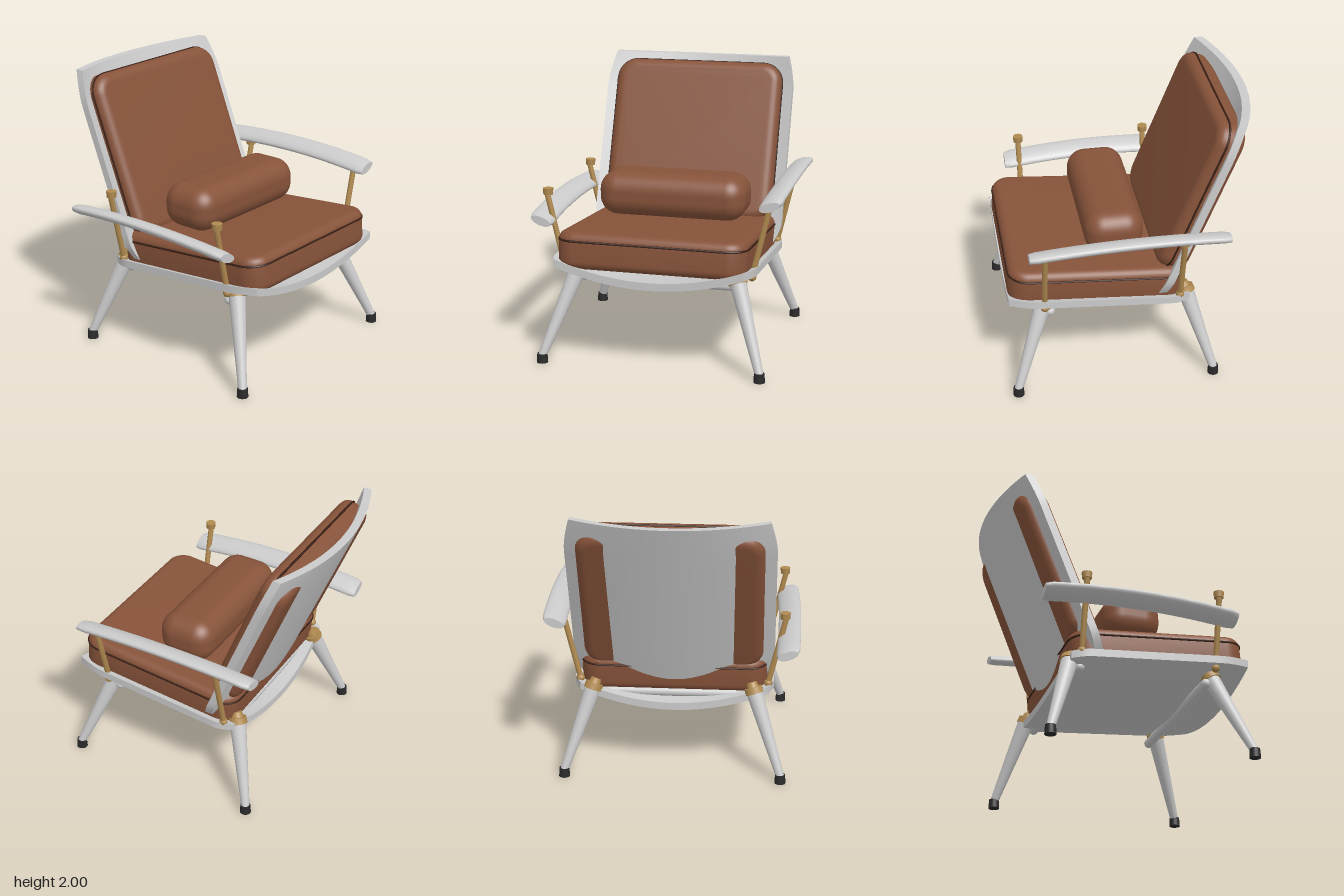
import * as THREE from 'three';
import { toCreasedNormals } from 'three/addons/utils/BufferGeometryUtils.js';
import { RoundedBoxGeometry } from 'three/addons/geometries/RoundedBoxGeometry.js';

const V = (x, y, z) => new THREE.Vector3(x, y, z);
const grey = new THREE.MeshStandardMaterial({ color: 0xcccccc });
const leather = new THREE.MeshStandardMaterial({ color: 0x87533a });
const brass = new THREE.MeshStandardMaterial({ color: 0xb08a50 });
const black = new THREE.MeshStandardMaterial({ color: 0x2a2a2a });
const piping = new THREE.MeshStandardMaterial({ color: 0x3a2016 });

function add(parent, name, geometry, material, pos) {
  const mesh = new THREE.Mesh(geometry, material);
  mesh.name = name;
  if (pos) mesh.position.copy(pos);
  parent.add(mesh);
  return mesh;
}

// Tapered round rod from a to b
function rod(parent, name, a, b, ra, rb, material) {
  const d = b.clone().sub(a);
  const mesh = add(parent, name, new THREE.CylinderGeometry(rb, ra, d.length(), 24), material,
    a.clone().add(b).multiplyScalar(0.5));
  mesh.quaternion.setFromUnitVectors(V(0, 1, 0), d.normalize());
  return mesh;
}

// Move every vertex of a geometry by a rule, then smooth all but the sharp edges
function reshape(geometry, rule) {
  const p = geometry.attributes.position;
  const v = V(0, 0, 0);
  for (let i = 0; i < p.count; i++) {
    rule(v.fromBufferAttribute(p, i));
    p.setXYZ(i, v.x, v.y, v.z);
  }
  return toCreasedNormals(geometry, 0.7);
}

function roundedRect(w, h, r) {
  const s = new THREE.Shape();
  s.absarc(w - r, h - r, r, 0, Math.PI / 2);
  s.absarc(r - w, h - r, r, Math.PI / 2, Math.PI);
  s.absarc(r - w, r - h, r, Math.PI, Math.PI * 1.5);
  s.absarc(w - r, r - h, r, Math.PI * 1.5, Math.PI * 2);
  s.closePath();
  return s;
}

// Upholstered cushion lying in the XY plane, front face +z, with a piped seam
function cushion(name, w, h, depth, r, bevel) {
  const g = new THREE.Group();
  g.name = name;
  const body = new THREE.ExtrudeGeometry(roundedRect(w - bevel, h - bevel, r - bevel), {
    depth: depth - 2 * bevel, bevelSize: bevel, bevelThickness: bevel, bevelSegments: 7, curveSegments: 12,
  });
  body.translate(0, 0, bevel - depth / 2);
  add(g, name + 'Body', toCreasedNormals(body, 0.8), leather);
  const pts = roundedRect(w, h, r).getSpacedPoints(100).slice(0, -1).map((p) => V(p.x, p.y, 0));
  const path = new THREE.CatmullRomCurve3(pts, true);
  add(g, name + 'Piping', new THREE.TubeGeometry(path, 160, 0.008, 6, true), piping,
    V(0, 0, depth / 2 - bevel));
  return g;
}

// Half width of a shell, drawn in over the last stretch e before an end
const halfWidth = (gap, e) => 0.72 - 0.05 * Math.max(0, 1 - gap / e) ** 1.5;

export function createModel() {
  const chair = new THREE.Group();
  chair.name = 'loungeChair';

  // Seat shell: sheet sagging between its sides, lower at the back
  const seat = reshape(new THREE.BoxGeometry(2, 0.055, 1.29, 32, 1, 24), (v) => {
    const u = v.x;
    const bow = 1 - u * u;
    const front = 0.645 - v.z, back = v.z + 0.645;
    v.x = u * Math.min(halfWidth(front, 0.2), halfWidth(back, 0.12));
    v.y += 0.747 - front * 0.082 - 0.12 * bow;
    v.z += 0.25 - 0.05 * bow * front / 1.29;
  });
  add(chair, 'seatShell', seat, grey);

  // Back shell: leaning sheet bowed to the rear
  const back = reshape(new THREE.BoxGeometry(2, 1.31, 0.06, 32, 24, 1), (v) => {
    const u = v.x;
    const bow = 1 - u * u;
    const up = v.y + 0.655;
    v.x = u * Math.min(halfWidth(1.31 - up, 0.24), halfWidth(up, 0.12));
    v.y = 0.69 + up - 0.02 * bow * up / 1.31;
    v.z += -0.2 - up * 0.397 - 0.14 * bow;
  });
  add(chair, 'backShell', back, grey);

  // Cushions
  const seatCushion = cushion('seatCushion', 0.67, 0.635, 0.26, 0.14, 0.06);
  seatCushion.rotation.x = -Math.PI / 2 - 0.082;
  seatCushion.position.set(0, 0.785, 0.255);
  chair.add(seatCushion);

  const backCushion = cushion('backCushion', 0.64, 0.6, 0.21, 0.15, 0.07);
  backCushion.rotation.x = -0.378;
  backCushion.position.set(0, 1.375, -0.48);
  chair.add(backCushion);

  add(chair, 'lumbarPillow', new RoundedBoxGeometry(1.08, 0.32, 0.42, 8, 0.135), leather, V(0, 1.1, 0.11));

  // Cross bars under the seat
  for (const z of [0.6, -0.32]) {
    const bar = add(chair, 'crossBar', new THREE.CapsuleGeometry(0.035, 1.2, 8, 20), grey, V(0, 0.585, z));
    bar.rotation.z = Math.PI / 2;
  }

  for (const s of [1, -1]) {
    // Splayed legs with brass collars and dark feet
    for (const [zFoot, zTop] of [[0.865, 0.65], [-0.565, -0.385]]) {
      const foot = V(s * 0.78, 0.05, zFoot), top = V(s * 0.58, 0.63, zTop);
      const at = (t) => foot.clone().lerp(top, t);
      rod(chair, 'leg', foot, at(1), 0.03, 0.06, grey);
      rod(chair, 'legCollar', at(0.98), at(1.05), 0.068, 0.064, brass);
      rod(chair, 'legCollarCap', at(1.05), at(1.11), 0.045, 0.035, brass);
      add(chair, 'foot', new THREE.CylinderGeometry(0.036, 0.04, 0.065, 20), black, V(s * 0.78, 0.0325, zFoot));
    }

    // Arm posts with a base knob and a disc on top
    for (const z of [0.645, -0.325]) {
      rod(chair, 'armPost', V(s * 0.676, 0.67, z), V(s * 0.795, 1.18, z), 0.02, 0.02, brass);
      add(chair, 'postKnob', new THREE.SphereGeometry(0.03, 16, 12), brass, V(s * 0.678, 0.675, z));
      add(chair, 'postDisc', new THREE.CylinderGeometry(0.037, 0.034, 0.045, 20), brass, V(s * 0.787, 1.193, z));
    }

    // Arched armrest of tilted oval section; the right one sits lower
    const drop = s > 0 ? 0 : 0.2;
    const bar = new THREE.CylinderGeometry(1, 1, 1, 28, 28).rotateX(Math.PI / 2);
    const arm = reshape(bar, (v) => {
      const t = v.z;
      const arch = 1 - 4 * t * t;
      const k = Math.abs(t) > 0.499 ? 0.86 : 1;
      const a = v.x * 0.085 * k, b = v.y * 0.036 * k;
      const c = Math.cos(0.34), n = s * Math.sin(0.34);
      v.x = s * (0.81 + 0.014 * arch) + a * c - b * n;
      v.y = 1.207 - drop + 0.037 * arch - 0.014 * t + a * n + b * c;
      v.z = 0.06 + t * 1.39;
    });
    add(chair, s > 0 ? 'leftArmrest' : 'rightArmrest', arm, grey);
  }
  return chair;
}
